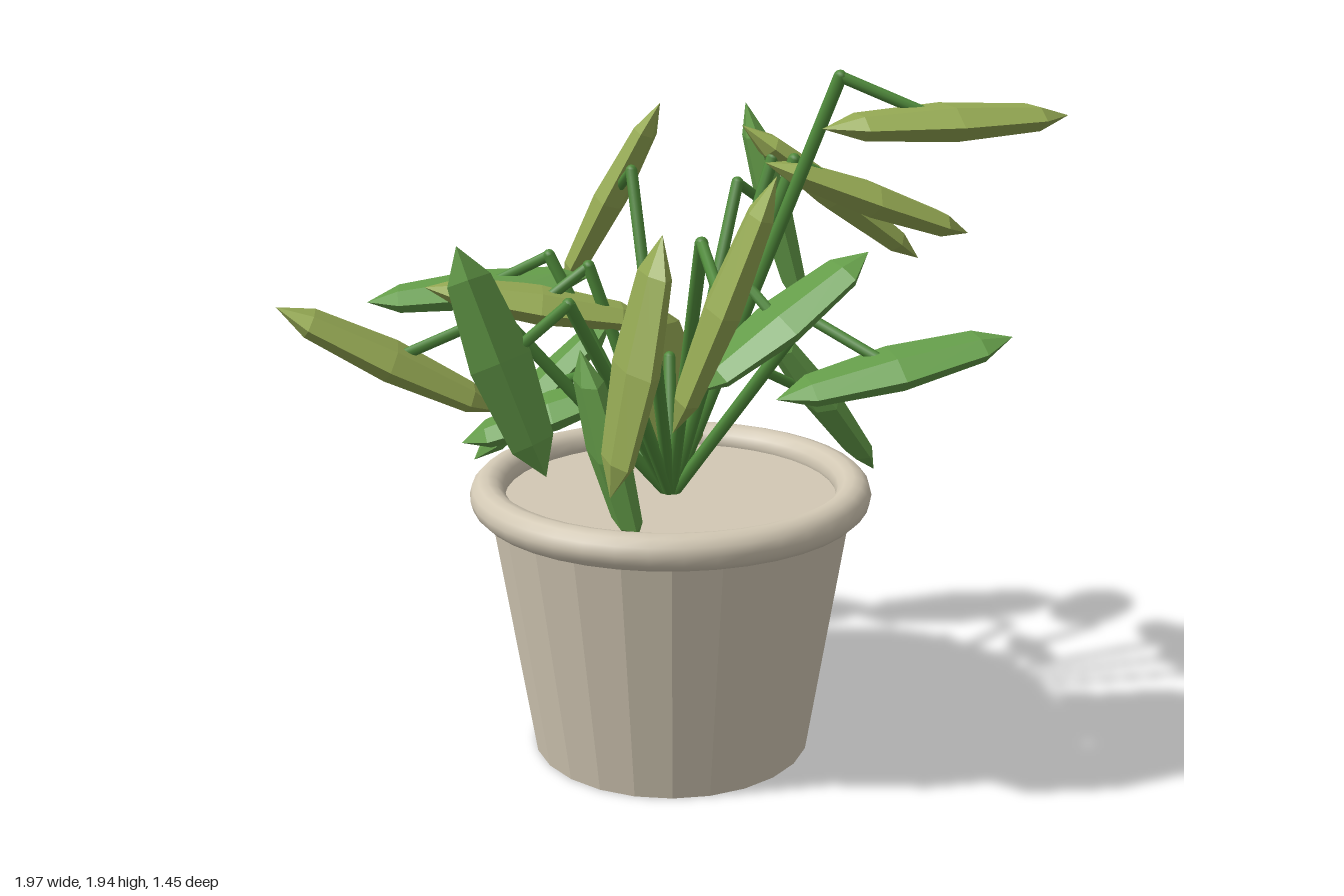
import * as THREE from 'three';

const mat = (name, color, flatShading = false) => {
  const m = new THREE.MeshStandardMaterial({ color, flatShading });
  m.name = name;
  return m;
};

const V = (a) => new THREE.Vector3(...a);
const POT_X = -0.055;
const BASE = new THREE.Vector3(POT_X, 0.74, 0);

// Each leaf: the two tips of its blade
const GREEN_LEAVES = [
  [[0.03, 1.79, -0.56], [0.2, 1.15, -0.62]],
  [[0.14, 1.18, -0.33], [0.45, 0.7, -0.51]],
  [[-0.39, 1.12, -0.59], [-0.81, 0.66, -0.42]],
  [[-0.33, 1.33, -0.14], [-0.92, 1.27, 0.08]],
  [[-0.21, 1.0, -0.29], [-0.73, 0.81, -0.12]],
  [[-0.47, 1.53, 0.52], [-0.23, 0.96, 0.57]],
  [[-0.18, 1.26, 0.43], [-0.06, 0.71, 0.36]],
  [[0.08, 1.13, 0.31], [0.5, 1.48, 0.08]],
  [[0.3, 1.12, 0.28], [0.88, 1.27, 0.06]],
];
const OLIVE_LEAVES = [
  [[0.38, 1.8, 0.13], [0.98, 1.82, -0.16]],
  [[0.19, 1.68, -0.08], [0.72, 1.47, -0.32]],
  [[0.09, 1.76, -0.24], [0.57, 1.37, -0.44]],
  [[-0.46, 1.03, 0.26], [-0.99, 1.34, 0.49]],
  [[-0.12, 1.23, -0.06], [-0.71, 1.34, 0.16]],
  [[-0.21, 1.79, -0.48], [-0.51, 1.22, -0.44]],
  [[-0.19, 1.23, -0.3], [-0.07, 0.75, -0.24]],
  [[0.06, 1.58, 0.51], [-0.06, 0.92, 0.58]],
  [[0.35, 1.74, 0.56], [0.11, 1.11, 0.61]],
];

export function createModel() {
  const root = new THREE.Group();
  root.name = 'pottedPlant';

  const clay = mat('clay', 0xd2c8b4);
  const clayFlat = clay;
  const stemGreen = mat('stemGreen', 0x4f8a3a);
  const leafGreen = mat('leafGreen', 0x649c49, true);
  const leafOlive = mat('leafOlive', 0x94a853, true);

  const add = (parent, name, geometry, material) => {
    const m = new THREE.Mesh(geometry, material);
    m.name = name;
    parent.add(m);
    return m;
  };

  // Pot with faceted wall; its closed top is the soil surface
  const potGeo = new THREE.CylinderGeometry(0.517, 0.4, 0.75, 24).toNonIndexed();
  potGeo.computeVertexNormals();
  add(root, 'pot', potGeo, clayFlat).position.set(POT_X, 0.375, 0);
  const rim = add(root, 'potRim', new THREE.TorusGeometry(0.516, 0.05, 12, 40), clay);
  rim.position.set(POT_X, 0.76, 0);
  rim.rotation.x = Math.PI / 2;

  // Straight round stalk between two points
  const stalk = (parent, name, a, b, r) => {
    const dir = b.clone().sub(a);
    const m = add(parent, name, new THREE.CylinderGeometry(r, r, dir.length(), 8), stemGreen);
    m.position.copy(a).lerp(b, 0.5);
    m.quaternion.setFromUnitVectors(new THREE.Vector3(0, 1, 0), dir.normalize());
  };

  // Low-poly blade: poles on the long axis, width kept horizontal
  const blade = new THREE.SphereGeometry(1, 6, 4);

  const addLeaf = ([p, q], material) => {
    const group = new THREE.Group();
    group.name = 'leafWithStem';
    root.add(group);
    const a = V(p), b = V(q);
    const centre = a.clone().lerp(b, 0.5);
    const axis = b.clone().sub(a);
    const length = axis.length();
    axis.normalize();
    const width = new THREE.Vector3().crossVectors(axis, new THREE.Vector3(0, 1, 0)).normalize();
    const normal = new THREE.Vector3().crossVectors(width, axis);
    const leaf = add(group, 'leaf', blade, material);
    leaf.position.copy(centre);
    leaf.scale.set(0.142, length / 2, 0.05);
    leaf.quaternion.setFromRotationMatrix(new THREE.Matrix4().makeBasis(width, axis, normal));

    // Stem rises to an elbow, then a short stalk reaches the blade
    const elbow = BASE.clone().lerp(centre, 0.62).setY(centre.y + 0.11);
    stalk(group, 'stem', BASE, elbow, 0.018);
    stalk(group, 'leafStalk', elbow, centre, 0.015);
    const joint = add(group, 'stemJoint', new THREE.SphereGeometry(0.018, 8, 6), stemGreen);
    joint.position.copy(elbow);
  };

  GREEN_LEAVES.forEach((l) => addLeaf(l, leafGreen));
  OLIVE_LEAVES.forEach((l) => addLeaf(l, leafOlive));
  return root;
}
